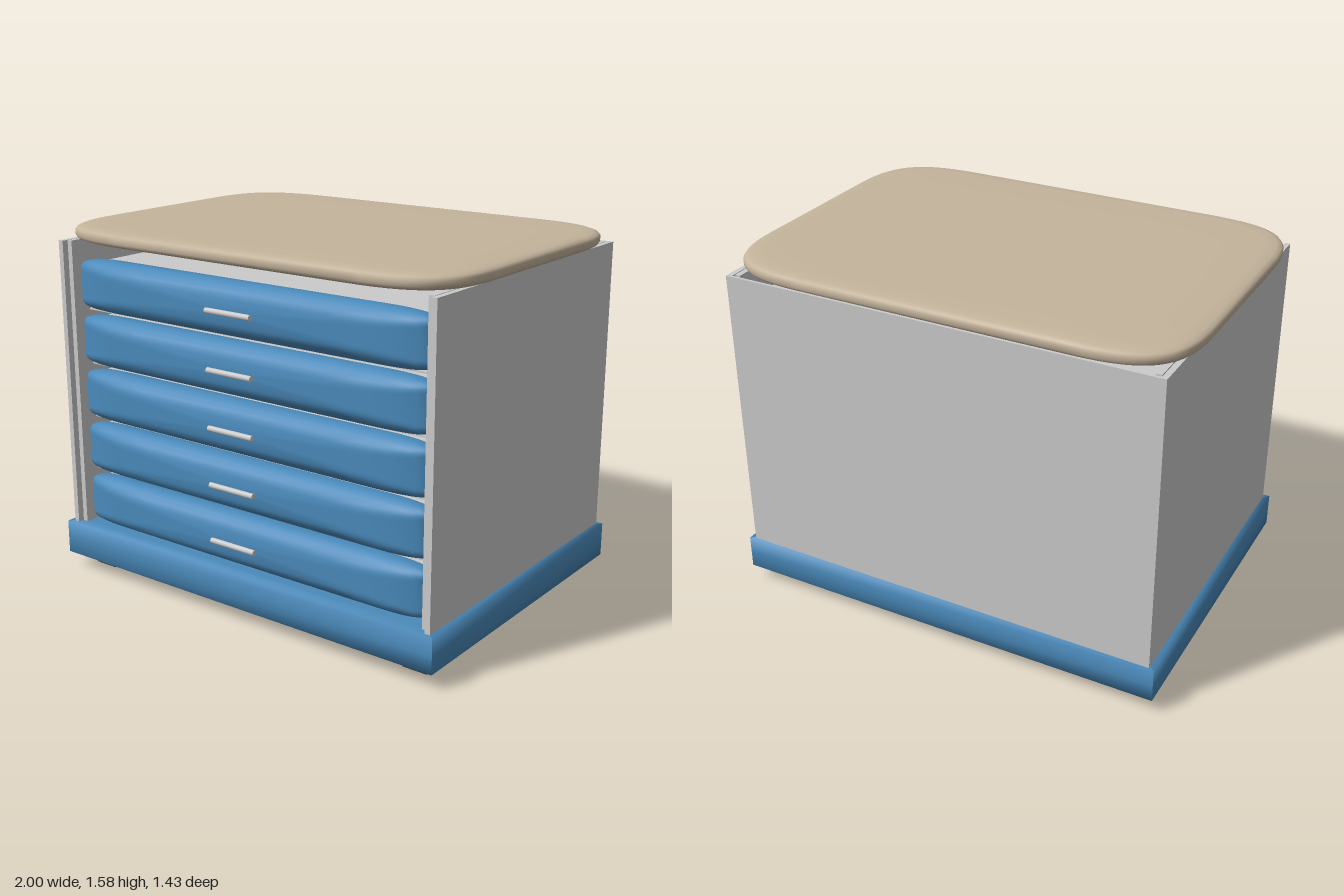
import * as THREE from 'three';
import { RoundedBoxGeometry } from 'three/addons/geometries/RoundedBoxGeometry.js';

const mat = (color) => new THREE.MeshStandardMaterial({ color });
const GREY = mat(0xcccccc), BLUE = mat(0x4a8abb), TAN = mat(0xc4b49c), DARK = mat(0x434e57);

// Skin over an outline (CCW in xy), swept along z by rings of [insetX, insetY, z], closed at both ends
function loft(outline, hx, hy, rings, zStart, zEnd) {
  const pos = [], idx = [], n = outline.length;
  for (const [ix, iy, z] of rings)
    for (const [x, y] of outline) pos.push(x * (1 - ix / hx), y * (1 - iy / hy), z);
  const start = pos.length / 3, end = start + 1, last = (rings.length - 1) * n;
  pos.push(0, 0, zStart, 0, 0, zEnd);
  for (let j = 0; j < n; j++) {
    const k = (j + 1) % n;
    const same = outline[j][0] === outline[k][0] && outline[j][1] === outline[k][1];
    if (same) continue; // doubled corner: keeps the vertical edge sharp
    for (let i = 0; i < rings.length - 1; i++) {
      const a = i * n + j, b = i * n + k;
      idx.push(a, b, b + n, a, b + n, a + n);
    }
    idx.push(start, k, j, end, last + j, last + k);
  }
  const g = new THREE.BufferGeometry();
  g.setAttribute('position', new THREE.Float32BufferAttribute(pos, 3));
  g.setIndex(idx);
  g.computeVertexNormals();
  return g;
}

// Rounded outline from one corner curve, mirrored into the four quadrants
function softOutline(p0, p1, p2, p3, steps = 14) {
  const curve = new THREE.CubicBezierCurve(...[p0, p1, p2, p3].map((p) => new THREE.Vector2(...p)));
  const q = curve.getPoints(steps).map((p) => [p.x, p.y]);
  const r = [...q].reverse();
  return [
    ...q,
    ...r.map(([x, y]) => [-x, y]),
    ...q.map(([x, y]) => [-x, -y]),
    ...r.map(([x, y]) => [x, -y]),
  ];
}

export function createModel() {
  const model = new THREE.Group();
  const add = (name, geo, material, x = 0, y = 0, z = 0, parent = model) => {
    const m = new THREE.Mesh(geo, material);
    m.name = name;
    m.position.set(x, y, z);
    parent.add(m);
    return m;
  };
  const box = (name, w, h, d, x, y, z, parent) =>
    add(name, new THREE.BoxGeometry(w, h, d), GREY, x, y, z, parent);

  // Feet
  for (const x of [-0.848, 0.848])
    for (const z of [-0.56, 0.56])
      add('foot', new RoundedBoxGeometry(0.125, 0.07, 0.125, 2, 0.012), DARK, x, 0.035, z);

  // Plinth with softly shaded rims and sharp corners
  const bx = 0.985, bz = 0.712;
  const rect = [[bx, -bz], [bx, bz], [bx, bz], [-bx, bz], [-bx, bz], [-bx, -bz], [-bx, -bz], [bx, -bz]];
  const plinth = loft(rect, bx, bz,
    [[0.06, 0.06, 0.066], [0, 0, 0.066], [0, 0, 0.14], [0, 0, 0.216], [0.06, 0.06, 0.216]], 0.066, 0.216);
  add('plinth', plinth.rotateX(-Math.PI / 2), BLUE);

  // Cabinet shell: outer skins, recessed inner liners, back panel
  const y0 = 0.21, y1 = 1.505, h = y1 - y0, yc = (y0 + y1) / 2;
  for (const s of [-1, 1]) {
    box('sidePanel', 0.024, h, 1.38, s * 0.948, yc, 0);
    box('sideLiner', 0.024, h, 1.34, s * 0.92, yc, -0.005);
  }
  box('backPanel', 1.92, h, 0.012, 0, yc, -0.694);

  // Drawers: bowed front, tray, bar handle and the runner shelf below
  const dx = 0.905, dy = 0.113;
  const front = loft(
    softOutline([dx, 0.07], [dx, 0.1], [0.87, dy], [0.66, dy]), dx, dy,
    [[0.02, 0.01, 0.57], [0, 0, 0.58], [0, 0, 0.615], [0.012, 0.006, 0.632],
      [0.05, 0.018, 0.65], [0.14, 0.036, 0.668], [0.28, 0.06, 0.678]], 0.57, 0.684);
  const handle = new THREE.CylinderGeometry(0.012, 0.012, 0.23, 16).rotateZ(Math.PI / 2);
  for (let i = 0; i < 5; i++) {
    const drawer = new THREE.Group();
    drawer.name = 'drawer' + (i + 1);
    drawer.position.y = 0.334 + i * 0.2455;
    model.add(drawer);
    add('drawerFront', front, BLUE, 0, 0, 0, drawer);
    box('drawerTray', 1.78, 0.18, 1.2, 0, -0.01, -0.03, drawer);
    add('handle', handle, GREY, 0, 0, 0.7, drawer);
    box('runnerShelf', 1.82, 0.008, 1.26, 0, -0.123, -0.05, drawer);
  }

  // Cushion-edged top
  const tx = 1, tz = 0.717;
  const top = loft(
    softOutline([tx, 0.35], [tx, 0.62], [0.9, tz], [0.6, tz], 20), tx, tz,
    [[0.25, 0.25, 1.505], [0.07, 0.07, 1.506], [0.025, 0.025, 1.51], [0.007, 0.007, 1.518], [0, 0, 1.53],
      [0, 0, 1.55], [0.007, 0.007, 1.561], [0.025, 0.025, 1.569], [0.07, 0.07, 1.574], [0.25, 0.25, 1.576]],
    1.505, 1.576);
  add('topCushion', top.rotateX(-Math.PI / 2), TAN);

  return model;
}
